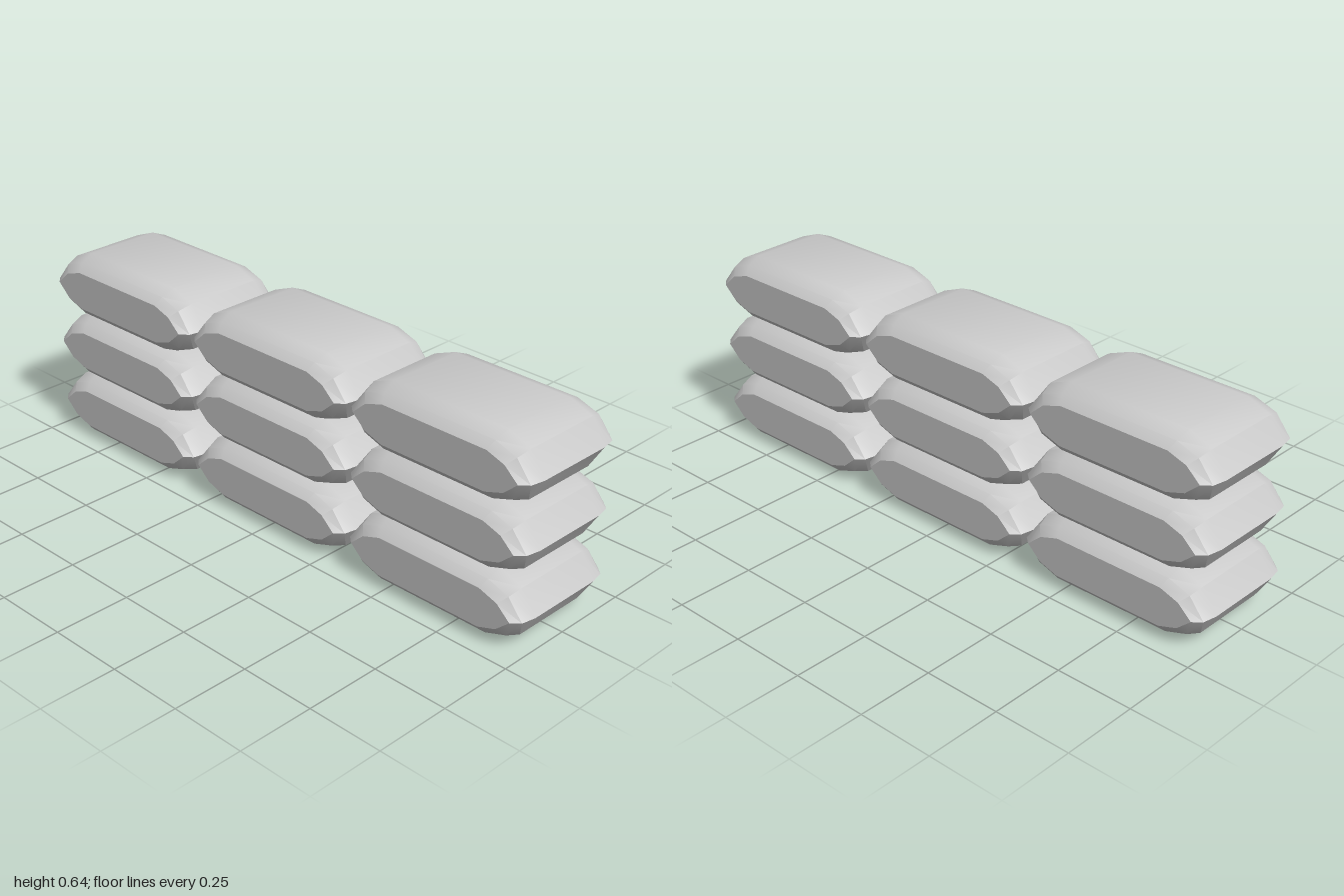
import * as THREE from 'three';
import { toCreasedNormals } from 'three/addons/utils/BufferGeometryUtils.js';

const HALF_HEIGHT = 0.1075;
const LENGTH_STEP = 0.668;

// Quarter outlines [y, z] of the bag, from the flat top down to the end ridge, at half-width x
const SECTIONS = [
  { x: 0.13, quarter: [[0.1075, 0.205], [0.077, 0.283], [0, 0.332]] },
  { x: 0.177, quarter: [[0.088, 0.198], [0.063, 0.272], [0, 0.323]] },
  { x: 0.2, quarter: [[0.063, 0.187], [0.042, 0.25], [0, 0.297]] },
];

// Mirror a quarter outline into a closed ten-sided ring
function ring([a, b, c]) {
  const half = [a, b, c, [-b[0], b[1]], [-a[0], a[1]]];
  return [...half, ...half.map(([y, z]) => [-y, -z])];
}

// Pillow-shaped bag lofted from side to side, with pinched ends
function bagGeometry() {
  const loops = [
    ...[...SECTIONS].reverse().map((s) => ({ x: -s.x, points: ring(s.quarter) })),
    ...SECTIONS.map((s) => ({ x: s.x, points: ring(s.quarter) })),
  ];
  const n = loops[0].points.length;
  const positions = [];
  const indices = [];
  for (const { x, points } of loops) {
    for (const [y, z] of points) positions.push(x, y, z);
  }
  for (let i = 0; i < loops.length - 1; i++) {
    for (let j = 0; j < n; j++) {
      const a = i * n + j;
      const b = i * n + (j + 1) % n;
      indices.push(a, b, b + n, a, b + n, a + n);
    }
  }
  // Flat side caps
  const last = (loops.length - 1) * n;
  for (let j = 1; j < n - 1; j++) {
    indices.push(0, j + 1, j);
    indices.push(last, last + j, last + j + 1);
  }
  const geometry = new THREE.BufferGeometry();
  geometry.setAttribute('position', new THREE.Float32BufferAttribute(positions, 3));
  geometry.setIndex(indices);
  return toCreasedNormals(geometry, 0.55);
}

export function createModel() {
  const model = new THREE.Group();
  model.name = 'sandbagWall';
  const material = new THREE.MeshStandardMaterial({ color: 0xcccccc });
  const geometry = bagGeometry();

  // Three layers of three bags laid end to end
  for (let layer = 0; layer < 3; layer++) {
    const row = new THREE.Group();
    row.name = `layer${layer + 1}`;
    row.position.y = HALF_HEIGHT * (2 * layer + 1);
    for (let i = 0; i < 3; i++) {
      const bag = new THREE.Mesh(geometry, material);
      bag.name = `sandbag${i + 1}`;
      bag.position.z = (1 - i) * LENGTH_STEP;
      row.add(bag);
    }
    model.add(row);
  }
  return model;
}
